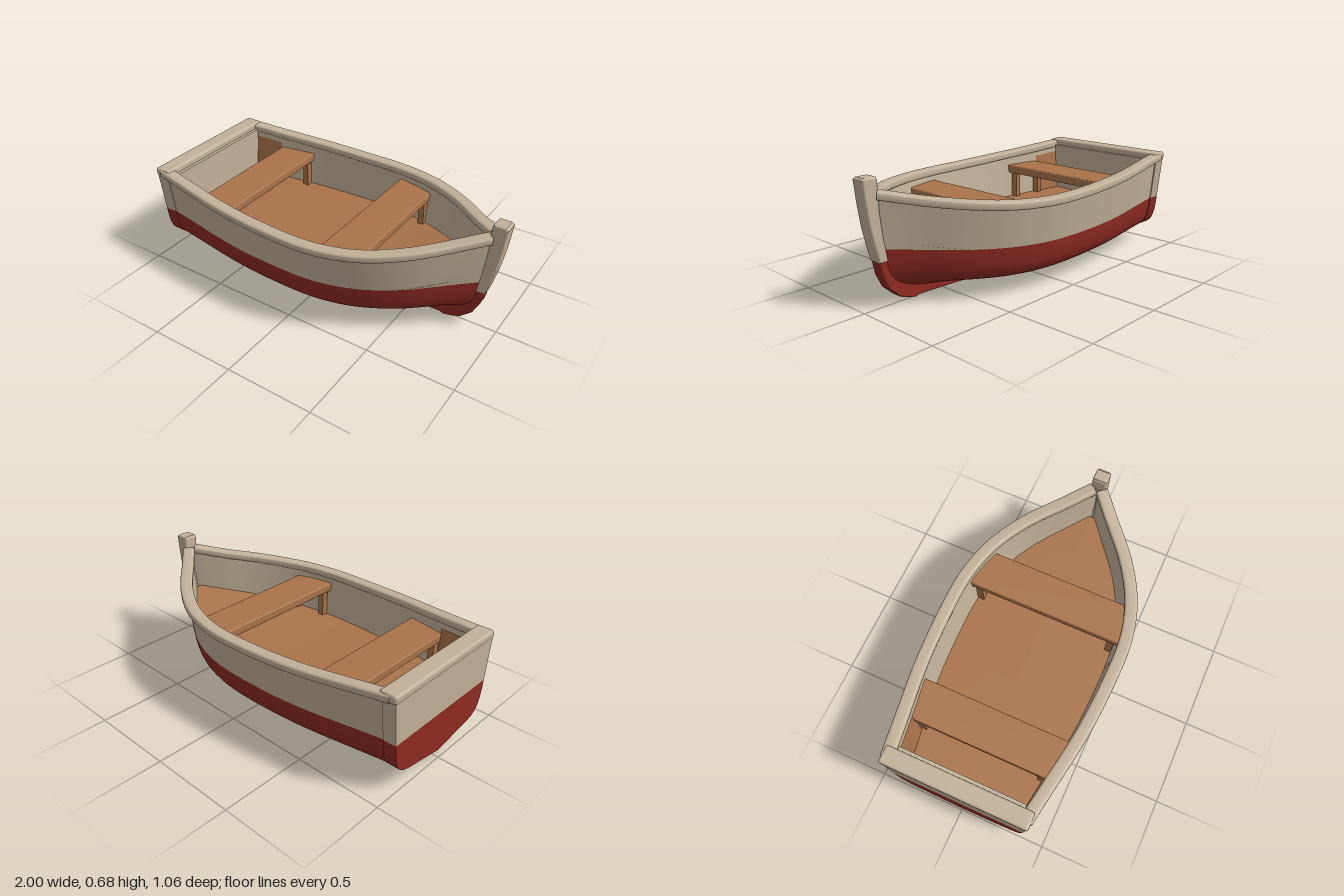
import * as THREE from 'three';
import { RoundedBoxGeometry } from 'three/addons/geometries/RoundedBoxGeometry.js';

const mat = (name, color) => {
  const m = new THREE.MeshStandardMaterial({ color, side: THREE.DoubleSide });
  m.name = name;
  return m;
};

// smooth interpolation through [x, value] pairs
function spline(p) {
  const slope = (i) => {
    const a = p[Math.max(i - 1, 0)], b = p[Math.min(i + 1, p.length - 1)];
    return (b[1] - a[1]) / (b[0] - a[0]);
  };
  return (x) => {
    let i = 0;
    while (i < p.length - 2 && x > p[i + 1][0]) i++;
    const d = p[i + 1][0] - p[i][0], s = THREE.MathUtils.clamp((x - p[i][0]) / d, 0, 1);
    const s2 = s * s, s3 = s2 * s;
    return (2 * s3 - 3 * s2 + 1) * p[i][1] + (s3 - 2 * s2 + s) * d * slope(i)
      + (3 * s2 - 2 * s3) * p[i + 1][1] + (s3 - s2) * d * slope(i + 1);
  };
}

// hull lines along the length
const STERN = -0.96, BOW = 0.92, lerp = THREE.MathUtils.lerp;
const beam = spline([[-0.96, 0.4], [-0.8, 0.425], [-0.4, 0.485], [0, 0.505], [0.2, 0.49],
  [0.4, 0.43], [0.6, 0.31], [0.8, 0.135], [0.92, 0.03]]);
const sheer = spline([[-0.96, 0.572], [-0.5, 0.537], [0, 0.52], [0.4, 0.53], [0.7, 0.565], [0.92, 0.61]]);
const water = spline([[-0.96, 0.288], [-0.4, 0.27], [0, 0.27], [0.5, 0.285], [0.92, 0.31]]);
const bottom = spline([[-0.96, 0.045], [0, 0.025], [0.6, 0.035], [0.92, 0.07]]);
const stemX = spline([[0.03, 0.74], [0.08, 0.83], [0.15, 0.87], [0.25, 0.89], [0.6, 0.92]]);
const floorY = spline([[-0.96, 0.25], [0.2, 0.25], [0.5, 0.28], [0.9, 0.35]]);
// bilge section: share of half beam and of height below the waterline
const bilgeZ = spline([[0, 0], [0.2, 0.34], [0.4, 0.68], [0.55, 0.82], [0.7, 0.885], [0.85, 0.915], [1, 0.93]]);
const bilgeY = spline([[0, 0], [0.2, 0.1], [0.4, 0.2], [0.55, 0.33], [0.7, 0.53], [0.85, 0.77], [1, 1]]);

// point on the hull: t runs stern to bow, v is 0 keel, 1 waterline, 2 sheer
function hullPoint(t, v) {
  const x = lerp(STERN, BOW, t);
  const height = (px, blend) => v <= 1
    ? lerp(bottom(px), water(px), lerp(bilgeY(v), v, blend))
    : lerp(water(px), sheer(px), v - 1);
  const z = beam(x) * (v <= 1 ? bilgeZ(v) : lerp(0.93, 1, v - 1));
  return [lerp(STERN, stemX(height(BOW, 1)), t), height(x, t ** 4), z];
}

// grid surface from a point rule over u and v in 0..1
function surface(fn, nu, nv) {
  const pos = [], index = [];
  for (let i = 0; i <= nu; i++) for (let j = 0; j <= nv; j++) {
    pos.push(...fn(i / nu, j / nv));
    if (i < nu && j < nv) {
      const a = i * (nv + 1) + j, b = a + nv + 1;
      index.push(a, b, a + 1, b, b + 1, a + 1);
    }
  }
  const g = new THREE.BufferGeometry();
  g.setAttribute('position', new THREE.Float32BufferAttribute(pos, 3));
  g.setIndex(index);
  g.computeVertexNormals();
  return g;
}

const shapeOf = (pts) => new THREE.Shape(pts.map((p) => new THREE.Vector2(...p)));
function slab(pts, depth, bevel) {
  return new THREE.ExtrudeGeometry(shapeOf(pts), {
    depth: depth - 2 * bevel, bevelThickness: bevel, bevelSize: bevel,
    bevelOffset: -bevel, bevelSegments: 3, bevelEnabled: bevel > 0,
  }).translate(0, 0, bevel);
}

export function createModel() {
  const boat = new THREE.Group();
  boat.name = 'rowingBoat';
  const cream = mat('creamPaint', 0xc2b199);
  const red = mat('redPaint', 0x902b22);
  const wood = mat('brownWood', 0xa9734a);
  const add = (name, geometry, material) => {
    const m = new THREE.Mesh(geometry, material);
    m.name = name;
    boat.add(m);
    return m;
  };

  // hull skins, lining and gunwale, one set per side
  for (const s of [1, -1]) {
    const side = s > 0 ? 'Left' : 'Right';
    const skin = (v0, v1, inset, t0 = 0, t1 = 1) => (u, v) => {
      const [x, y, z] = hullPoint(lerp(t0, t1, s > 0 ? 1 - u : u), lerp(v0, v1, v));
      return [x, y, s * Math.max(z - inset, 0)];
    };
    add('lowerHull' + side, surface(skin(0, 1, 0), 60, 24), red);
    add('upperHull' + side, surface(skin(1, 1.97, 0), 60, 6), cream);
    add('innerLining' + side, surface(skin(0.8, 1.97, 0.035), 60, 8), cream);
    add('sternSidePanel' + side, surface(skin(0.9, 1.75, 0.043, 0.04, 0.135), 8, 6), wood);

    // rounded rail section swept along the sheer
    add('gunwale' + side, surface((u, v) => {
      const x = lerp(STERN, BOW - 0.01, u), e = 0.005;
      const dz = (beam(x + e) - beam(x - e)) / (2 * e), n = Math.hypot(dz, 1);
      const a = v * Math.PI * 2, round = (c) => Math.sign(c) * Math.abs(c) ** 0.5;
      const out = 0.036 * round(Math.cos(a));
      return [x - (dz / n) * out, sheer(x) - 0.023 + 0.023 * round(Math.sin(a)),
        s * Math.max(beam(x) - 0.012 + out / n, -0.005)];
    }, 70, 24), cream);
  }

  // floor boards
  add('floor', surface((u, v) => {
    const x = lerp(-0.92, 0.87, u), y = floorY(x);
    const w = Math.max(beam(x) * lerp(0.93, 0.96, u) - 0.02, 0.01);
    return [x, y, lerp(-w, w, v)];
  }, 50, 2), wood);

  // transom, split at the waterline
  const half = [];
  for (let i = 0; i <= 16; i++) {
    const [, y, z] = hullPoint(0, i / 16);
    half.push([z * 1.03, y]);
  }
  const mirrored = (pts) => [...pts, ...pts.slice().reverse().map(([z, y]) => [-z, y])];
  const wl = half[16];
  const transom = (name, pts, m) =>
    add(name, slab(pts, 0.075, 0).rotateY(-Math.PI / 2).translate(-0.92, 0, 0), m);
  transom('transomLower', mirrored(half).slice(0, -1), red);
  transom('transomUpper', mirrored([wl, [0.412, 0.56]]), cream);
  add('transomCap', new RoundedBoxGeometry(0.1, 0.048, 0.835, 4, 0.015), cream).position.set(-0.95, 0.553, 0);
  add('transomLining', new THREE.BoxGeometry(0.05, 0.3, 0.72), cream).position.set(-0.905, 0.39, 0);

  // stem post and keel
  add('stemPost', slab([[0.87, 0.245], [0.922, 0.245], [0.945, 0.33], [0.966, 0.42], [0.985, 0.54],
    [0.999, 0.665], [0.985, 0.675], [0.92, 0.675], [0.913, 0.66], [0.908, 0.5], [0.89, 0.35]],
  0.084, 0.01).translate(0, 0, -0.042), cream);
  add('keel', slab([[0.92, 0.252], [0.902, 0.17], [0.865, 0.095], [0.8, 0.038], [0.75, 0.02],
    [0.7, 0.01], [0.68, 0.02], [0.4, 0.008], [0, 0], [-0.5, 0.01], [-0.95, 0.028], [-0.95, 0.08],
    [0, 0.06], [0.6, 0.07], [0.78, 0.12], [0.85, 0.2], [0.87, 0.252]],
  0.074, 0.008).translate(0, 0, -0.037), red);

  // thwarts with short legs at their ends
  for (const [name, x0, x1] of [['sternSeat', -0.71, -0.48], ['bowSeat', 0.135, 0.365]]) {
    const w = (x) => beam(x) * 0.985 - 0.025;
    add(name, slab([[x0, -w(x0)], [x1, -w(x1)], [x1, w(x1)], [x0, w(x0)]], 0.05, 0.008)
      .rotateX(Math.PI / 2).translate(0, 0.45, 0), wood);
    for (const x of [x0 + 0.025, x1 - 0.025]) for (const s of [1, -1]) {
      add(name + 'Leg', new THREE.BoxGeometry(0.035, 0.18, 0.04), wood)
        .position.set(x, 0.33, s * (beam(x) * 0.93 - 0.055));
    }
  }
  return boat;
}
